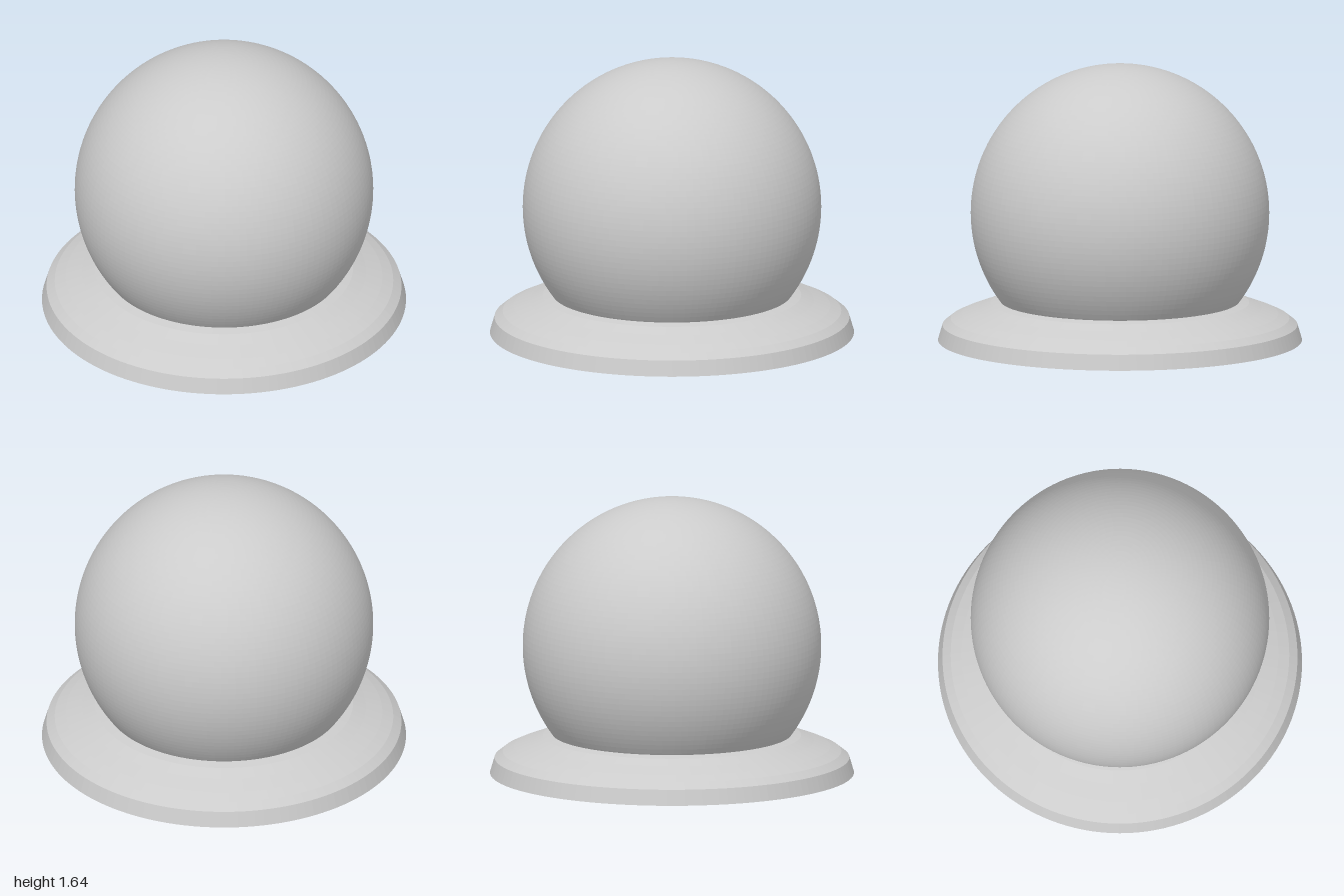
import * as THREE from 'three';

export function createModel() {
  const group = new THREE.Group();
  const grey = { color: 0xcccccc, flatShading: true };

  // Ball resting on the ground
  const radius = 0.82;
  const ball = new THREE.Mesh(
    new THREE.SphereGeometry(radius, 128, 80),
    new THREE.MeshStandardMaterial(grey)
  );
  ball.name = 'ball';
  ball.position.y = radius;
  group.add(ball);

  // Thin flared collar, open underneath, meeting the ball at its upper edge
  const profile = [
    [1, 0.11], [0.975, 0.195], [0.93, 0.23], [0.87, 0.257],
    [0.78, 0.29], [0.71, 0.319], [0.655, 0.33],
  ].map(([r, y]) => new THREE.Vector2(r, y));
  const collar = new THREE.Mesh(
    new THREE.LatheGeometry(profile, 128),
    new THREE.MeshStandardMaterial({ ...grey, side: THREE.DoubleSide })
  );
  collar.name = 'collar';
  group.add(collar);

  return group;
}
